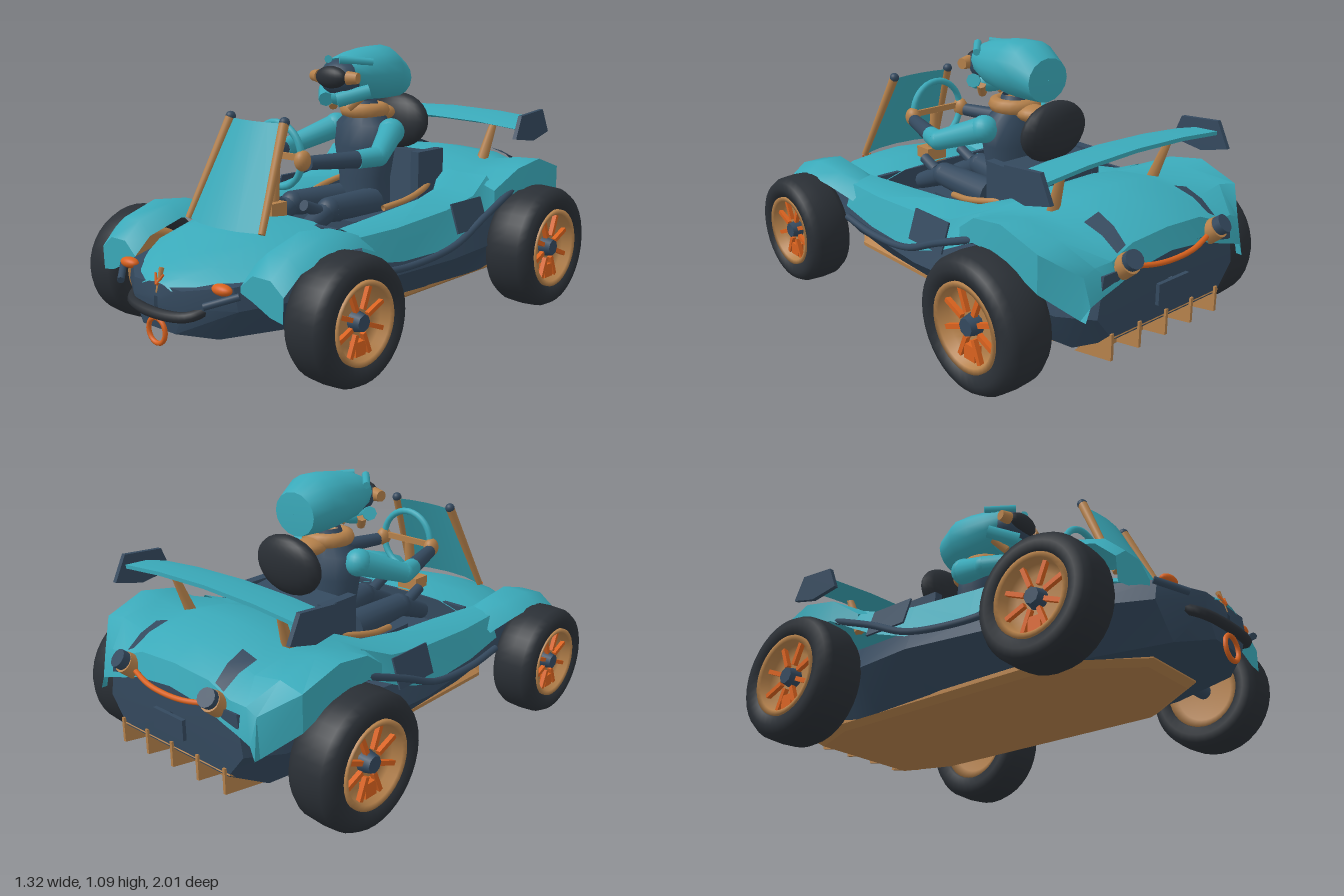
import * as THREE from 'three';
import { toCreasedNormals } from 'three/addons/utils/BufferGeometryUtils.js';

const V = (a) => new THREE.Vector3(...a);

export function createModel() {
  const root = new THREE.Group();
  root.name = 'buggy';
  const mat = (name, color, side = THREE.FrontSide) => {
    const m = new THREE.MeshStandardMaterial({ color, side });
    m.name = name;
    return m;
  };
  const teal = mat('teal', 0x3aa9b9, THREE.DoubleSide);
  const navy = mat('navy', 0x34495e, THREE.DoubleSide);
  const tan = mat('tan', 0xb5814b, THREE.DoubleSide);
  const orange = mat('orange', 0xd9621e);
  const black = mat('black', 0x2a2f35);

  // --- helpers ---
  const add = (name, geo, m, pos = [0, 0, 0], rot = [0, 0, 0], parent = root) => {
    const mesh = new THREE.Mesh(geo, m);
    mesh.name = name;
    mesh.position.set(...pos);
    mesh.rotation.set(...rot);
    parent.add(mesh);
    return mesh;
  };
  const box = (name, size, m, pos, rot, parent) => add(name, new THREE.BoxGeometry(...size), m, pos, rot, parent);
  const ball = (name, size, m, pos, rot) => {
    const mesh = add(name, new THREE.SphereGeometry(1, 20, 14), m, pos, rot);
    mesh.scale.set(...size);
    return mesh;
  };
  const rod = (name, a, b, r1, r2, m, sides = 14) => {
    const d = V(b).sub(V(a));
    const mesh = add(name, new THREE.CylinderGeometry(r2, r1, d.length(), sides), m);
    mesh.position.copy(V(a)).addScaledVector(d, 0.5);
    mesh.quaternion.setFromUnitVectors(new THREE.Vector3(0, 1, 0), d.normalize());
    return mesh;
  };
  const tube = (name, pts, r, m) =>
    add(name, new THREE.TubeGeometry(new THREE.CatmullRomCurve3(pts.map(V)), 24, r, 8), m);
  // Skin through rows of [x, y, z] points
  const loft = (name, rows, m, crease = 0.6) => {
    const n = rows[0].length, idx = [];
    for (let i = 0; i < rows.length - 1; i++)
      for (let j = 0; j < n - 1; j++) {
        const a = i * n + j, b = a + n;
        idx.push(a, b, a + 1, a + 1, b, b + 1);
      }
    const g = new THREE.BufferGeometry();
    g.setAttribute('position', new THREE.Float32BufferAttribute(rows.flat(2), 3));
    g.setIndex(idx);
    return add(name, toCreasedNormals(g, crease), m);
  };
  // Half profile [x, y] at z, mirrored into a whole row
  const whole = (z, half) => [
    ...half.slice().reverse().map(([x, y]) => [-x, y, z]),
    ...half.map(([x, y]) => [x, y, z]),
  ];
  const both = (fn) => [1, -1].forEach((s) => fn(s, s > 0 ? 'left' : 'right'));

  // --- lower tub: z, bottom half width, bottom, waist half width, waist, top ---
  const tub = [
    [0.97, 0.01, 0.24, 0.01, 0.26, 0.28], [0.96, 0.09, 0.16, 0.14, 0.26, 0.32],
    [0.86, 0.2, 0.14, 0.3, 0.26, 0.34], [0.6, 0.28, 0.13, 0.4, 0.27, 0.36],
    [0.3, 0.32, 0.13, 0.44, 0.27, 0.36], [-0.1, 0.34, 0.13, 0.49, 0.28, 0.37],
    [-0.38, 0.35, 0.13, 0.47, 0.28, 0.38], [-0.5, 0.35, 0.13, 0.44, 0.29, 0.4],
    [-0.8, 0.33, 0.15, 0.42, 0.3, 0.44], [-0.94, 0.28, 0.22, 0.36, 0.32, 0.47],
    [-0.945, 0.01, 0.33, 0.01, 0.35, 0.37],
  ];
  loft('lowerTub', tub.map(([z, wb, yb, w, ym, yt]) =>
    whole(z, [[0, yt], [w * 0.93, yt], [w, ym], [wb, yb], [0, yb]])), navy);

  // --- floor pan and diffuser ---
  const pan = new THREE.Shape([[0.13, 0.72], [0.32, 0.45], [0.32, -0.6], [0.24, -0.82], [-0.24, -0.82],
    [-0.32, -0.6], [-0.32, 0.45], [-0.13, 0.72]].map(([x, z]) => new THREE.Vector2(x, z)));
  add('floorPan', new THREE.ExtrudeGeometry(pan, { depth: 0.015, bevelThickness: 0.02, bevelSize: 0.03, bevelSegments: 1 }),
    tan, [0, 0.145, 0], [Math.PI / 2, 0, 0]);
  box('diffuserPlate', [0.58, 0.015, 0.18], tan, [0, 0.19, -0.86], [0.5, 0, 0]);
  const fin = new THREE.Shape([[0.78, 0.12], [0.95, 0.15], [0.95, 0.25], [0.9, 0.24]].map((p) => new THREE.Vector2(...p)));
  for (let i = -2; i <= 2; i++)
    add('diffuserFin', new THREE.ExtrudeGeometry(fin, { depth: 0.012, bevelEnabled: false }), tan, [i * 0.14 + 0.006, 0, 0], [0, Math.PI / 2, 0]);

  // --- hood ---
  loft('hood', [
    whole(0.37, [[0, 0.47], [0.18, 0.465], [0.34, 0.42]]),
    whole(0.5, [[0, 0.485], [0.2, 0.475], [0.35, 0.42]]),
    whole(0.68, [[0, 0.46], [0.2, 0.44], [0.35, 0.37]]),
    whole(0.84, [[0, 0.395], [0.15, 0.38], [0.26, 0.33]]),
    whole(0.92, [[0, 0.36], [0.09, 0.35], [0.17, 0.32]]),
    whole(0.965, [[0, 0.33], [0.04, 0.325], [0.08, 0.31]]),
  ], teal, 1);
  box('dashPanel', [0.62, 0.1, 0.02], navy, [0, 0.41, 0.385]);
  box('dashPod', [0.1, 0.07, 0.08], tan, [0, 0.49, 0.42]);

  // --- rear deck with fenders ---
  loft('rearDeck', [
    whole(-0.38, [[0, 0.56], [0.19, 0.56], [0.28, 0.54], [0.4, 0.54], [0.485, 0.51], [0.49, 0.44]]),
    whole(-0.5, [[0, 0.61], [0.2, 0.6], [0.3, 0.57], [0.42, 0.58], [0.52, 0.59], [0.525, 0.5]]),
    whole(-0.65, [[0, 0.63], [0.2, 0.62], [0.3, 0.59], [0.42, 0.61], [0.53, 0.615], [0.535, 0.5]]),
    whole(-0.82, [[0, 0.6], [0.2, 0.59], [0.3, 0.56], [0.42, 0.58], [0.52, 0.56], [0.52, 0.42]]),
    whole(-0.92, [[0, 0.55], [0.18, 0.54], [0.28, 0.5], [0.36, 0.5], [0.41, 0.48], [0.42, 0.33]]),
    whole(-0.945, [[0, 0.47], [0.18, 0.45], [0.27, 0.42], [0.34, 0.4], [0.4, 0.38], [0.42, 0.33]]),
  ], teal);
  tube('tailStrip', [[-0.21, 0.47, -0.94], [-0.1, 0.455, -0.965], [0, 0.45, -0.97], [0.1, 0.455, -0.965], [0.21, 0.47, -0.94]], 0.01, orange);
  box('tailPlate', [0.16, 0.08, 0.015], navy, [0, 0.33, -0.957]);

  // --- mirrored body parts ---
  // inner, crest, shoulder and lower edge of each side pod
  const pod = [
    [0.4, [0.28, 0.43], [0.34, 0.47], [0.43, 0.45], [0.465, 0.36]],
    [0.2, [0.27, 0.45], [0.33, 0.48], [0.44, 0.45], [0.475, 0.33]],
    [-0.1, [0.27, 0.47], [0.33, 0.505], [0.45, 0.47], [0.495, 0.33]],
    [-0.28, [0.25, 0.5], [0.32, 0.525], [0.45, 0.5], [0.5, 0.39]],
    [-0.42, [0.18, 0.57], [0.28, 0.56], [0.42, 0.56], [0.5, 0.46]],
  ];
  // arch of each front fender: z, y, outer x
  const arch = [[0.84, 0.3, 0.49], [0.84, 0.39, 0.495], [0.77, 0.455, 0.505], [0.62, 0.5, 0.515], [0.47, 0.485, 0.505], [0.35, 0.44, 0.465]];
  both((s, side) => {
    loft(side + 'SidePod', pod.map(([z, ...p]) => p.map(([x, y]) => [s * x, y, z])), teal, 0.8);
    loft(side + 'CockpitWall', pod.map(([z, [x, y]]) => [[s * x, y, z], [s * (x - 0.03), 0.36, z]]), navy);
    loft(side + 'FrontFender', arch.map(([z, y, x], i) => [
      [s * 0.29, y - (i ? 0.05 : -0.02), z], [s * 0.35, y, z],
      [s * (x - 0.06), y - (i ? 0 : 0.035), z], [s * x, y - 0.045, z],
    ]), teal, 0.8);
    box(side + 'NumberPanel', [0.008, 0.12, 0.2], navy, [s * 0.487, 0.44, -0.2], [0, 0, s * 0.32]);
    tube(side + 'SideRail', [[s * 0.475, 0.32, 0.38], [s * 0.49, 0.31, 0.18], [s * 0.505, 0.34, -0.08], [s * 0.51, 0.42, -0.27], [s * 0.505, 0.5, -0.48]], 0.014, navy);
    tube(side + 'CockpitTrim', [[s * 0.21, 0.46, 0.0], [s * 0.235, 0.48, -0.12], [s * 0.23, 0.5, -0.22], [s * 0.2, 0.52, -0.32]], 0.013, tan);
    loft(side + 'TailGroove', [[-0.78, 0.62], [-0.86, 0.595], [-0.925, 0.55]].map(([z, y], i) =>
      [[s * (0.2 + i * 0.01), y - 0.005, z], [s * (0.27 - i * 0.005), y - 0.025, z]]), navy);
    // exhausts
    rod(side + 'Exhaust', [s * 0.23, 0.45, -0.9], [s * 0.235, 0.5, -0.965], 0.045, 0.04, tan);
    rod(side + 'ExhaustTip', [s * 0.235, 0.5, -0.96], [s * 0.24, 0.52, -0.985], 0.035, 0.035, navy);
    // lamps
    ball(side + 'Headlamp', [0.045, 0.02, 0.025], orange, [s * 0.255, 0.335, 0.89]);
    rod(side + 'LampBar', [s * 0.23, 0.285, 0.95], [s * 0.32, 0.32, 0.87], 0.013, 0.013, navy);
    // windshield posts
    rod(side + 'WindshieldPost', [s * 0.2, 0.47, 0.655], [s * 0.145, 0.84, 0.485], 0.013, 0.019, tan);
    ball(side + 'PostCap', [0.02, 0.02, 0.02], navy, [s * 0.145, 0.845, 0.482]);
    // wing end plates and stays
    const plate = new THREE.Shape([[0.6, 0.795], [0.77, 0.81], [0.82, 0.71], [0.7, 0.68], [0.56, 0.7]].map((p) => new THREE.Vector2(...p)));
    add(side + 'WingEndPlate', new THREE.ExtrudeGeometry(plate, { depth: 0.018, bevelEnabled: false }), navy, [s * 0.46 - 0.009, 0, 0], [0, Math.PI / 2, 0]);
    rod(side + 'WingStay', [s * 0.26, 0.58, -0.62], [s * 0.28, 0.75, -0.68], 0.025, 0.015, tan, 6);
  });

  // --- wing blade ---
  const ring = [[-0.58, 0], [-0.67, 0.025], [-0.77, 0.03], [-0.77, 0.015], [-0.67, -0.02], [-0.58, 0]];
  loft('wingBlade', [-0.455, -0.25, 0, 0.25, 0.455].map((x) =>
    ring.map(([z, y]) => [x, 0.765 - x * x * 0.12 + y, z])), teal, 0.5);

  // --- windshield ---
  loft('windshield', [
    [[-0.2, 0.47, 0.65], [-0.1, 0.47, 0.685], [0, 0.47, 0.695], [0.1, 0.47, 0.685], [0.2, 0.47, 0.65]],
    [[-0.14, 0.84, 0.48], [-0.07, 0.84, 0.495], [0, 0.84, 0.5], [0.07, 0.84, 0.495], [0.14, 0.84, 0.48]],
  ], teal, 1);

  // --- nose fittings ---
  tube('frontBumper', [[-0.19, 0.255, 0.9], [-0.16, 0.235, 0.95], [-0.08, 0.225, 0.975], [0.08, 0.225, 0.975], [0.16, 0.235, 0.95], [0.19, 0.255, 0.9]], 0.02, black);
  add('towRing', new THREE.TorusGeometry(0.046, 0.009, 8, 24), orange, [0, 0.155, 0.97]);
  rod('noseBadgeStem', [0, 0.29, 0.965], [0, 0.375, 0.94], 0.005, 0.01, tan, 6);
  both((s) => rod('noseBadgeWing', [0, 0.32, 0.965], [s * 0.022, 0.355, 0.95], 0.006, 0.004, orange, 6));

  // --- wheels ---
  const wheel = (name, r, w, x, z) => {
    const g = new THREE.Group();
    g.name = name;
    const h = w / 2;
    const tyre = [[0.6, -0.6], [0.66, -0.9], [0.8, -1], [0.92, -0.88], [0.985, -0.6], [1, 0], [0.985, 0.6], [0.92, 0.88], [0.8, 1], [0.66, 0.9], [0.6, 0.6], [0.6, -0.6]];
    const lathe = (pts) => new THREE.LatheGeometry(pts.map(([a, b]) => new THREE.Vector2(a * r, b * h)), 36);
    const turn = [0, 0, -Math.PI / 2];
    add('tyre', lathe(tyre), black, [0, 0, 0], turn, g);
    add('rim', lathe([[0.01, 0.35], [0.4, 0.35], [0.53, 0.5], [0.56, 0.88], [0.64, 0.92], [0.64, -0.8], [0.5, -0.6], [0.01, -0.6]]), tan, [0, 0, 0], turn, g);
    for (let i = 0; i < 8; i++) {
      const a = (i * Math.PI) / 4 + 0.39;
      box('spoke', [h * 0.18, r * 0.38, r * 0.07], orange, [h * 0.6, Math.cos(a) * r * 0.38, Math.sin(a) * r * 0.38], [a, 0, 0], g);
    }
    box('caliper', [h * 0.3, r * 0.22, r * 0.22], orange, [h * 0.52, -r * 0.4, 0], [0, 0, 0], g);
    add('hub', new THREE.CylinderGeometry(r * 0.13, r * 0.17, h * 0.45, 8), navy, [h * 0.6, 0, 0], turn, g);
    g.position.set(x, r, z);
    if (x < 0) g.rotation.y = Math.PI;
    root.add(g);
  };
  both((s, side) => {
    wheel(side + 'FrontWheel', 0.23, 0.19, s * 0.55, 0.6);
    wheel(side + 'RearWheel', 0.255, 0.21, s * 0.555, -0.6);
  });
  rod('frontAxle', [-0.5, 0.23, 0.6], [0.5, 0.23, 0.6], 0.03, 0.03, navy);
  rod('rearAxle', [-0.5, 0.255, -0.6], [0.5, 0.255, -0.6], 0.03, 0.03, navy);

  // --- seat and headrest ---
  box('seatBack', [0.36, 0.3, 0.13], navy, [0, 0.5, -0.31], [-0.12, 0, 0]);
  box('seatBase', [0.38, 0.07, 0.4], navy, [0, 0.39, -0.05]);
  both((s) => box('seatBolster', [0.04, 0.28, 0.17], navy, [s * 0.2, 0.52, -0.3]));
  ball('headrest', [0.16, 0.12, 0.06], black, [0, 0.765, -0.35], [-0.1, 0, 0]);

  // --- steering ---
  add('steeringWheel', new THREE.TorusGeometry(0.125, 0.014, 8, 32), teal, [0, 0.7, 0.375], [0.05, 0, 0]);
  rod('steeringColumn', [0, 0.48, 0.41], [0, 0.69, 0.39], 0.025, 0.02, tan);
  box('steeringSpoke', [0.23, 0.025, 0.012], tan, [0, 0.7, 0.378]);

  // --- driver ---
  loft('driverTorso', [[0.42, 0.12, 0.09], [0.55, 0.12, 0.09], [0.68, 0.145, 0.1], [0.77, 0.14, 0.09], [0.83, 0.07, 0.06], [0.87, 0.05, 0.05]].map(([y, rx, rz]) =>
    Array.from({ length: 17 }, (_, i) => [Math.cos(i * Math.PI / 8) * rx, y, -0.13 + Math.sin(i * Math.PI / 8) * rz])), navy, 1.2);
  add('scarf', new THREE.TorusGeometry(0.075, 0.03, 8, 20), tan, [0, 0.83, -0.13], [Math.PI / 2, 0, 0]);
  ball('scarfTail', [0.06, 0.035, 0.07], tan, [0, 0.81, -0.23]);
  both((s, side) => {
    ball(side + 'Shoulder', [0.055, 0.055, 0.055], teal, [s * 0.15, 0.75, -0.12]);
    rod(side + 'UpperArm', [s * 0.15, 0.75, -0.12], [s * 0.235, 0.68, 0.06], 0.052, 0.04, teal);
    ball(side + 'Elbow', [0.04, 0.04, 0.04], teal, [s * 0.235, 0.68, 0.06]);
    rod(side + 'Cuff', [s * 0.235, 0.68, 0.06], [s * 0.205, 0.675, 0.15], 0.04, 0.036, teal);
    rod(side + 'Forearm', [s * 0.205, 0.675, 0.15], [s * 0.14, 0.68, 0.35], 0.034, 0.027, navy);
    ball(side + 'Glove', [0.03, 0.04, 0.035], tan, [s * 0.13, 0.69, 0.375]);
    rod(side + 'Thigh', [s * 0.08, 0.45, -0.08], [s * 0.1, 0.47, 0.2], 0.065, 0.05, navy);
    rod(side + 'Shin', [s * 0.1, 0.47, 0.2], [s * 0.1, 0.4, 0.36], 0.045, 0.035, navy);
    ball(side + 'Knee', [0.05, 0.05, 0.05], navy, [s * 0.1, 0.47, 0.2]);
    rod(side + 'KneePad', [s * 0.1, 0.51, 0.34], [s * 0.1, 0.475, 0.26], 0.022, 0.025, navy);
    // helmet fittings
    rod(side + 'HelmetPivot', [s * 0.075, 0.975, 0.06], [s * 0.12, 0.975, 0.05], 0.028, 0.022, tan);
    rod(side + 'ChinGuard', [s * 0.12, 0.92, -0.02], [s * 0.03, 0.885, 0.075], 0.028, 0.03, teal, 8);
    rod(side + 'BrowBar', [s * 0.12, 1.035, -0.04], [s * 0.03, 1.045, 0.06], 0.014, 0.016, teal, 8);
    rod(side + 'ChinStrap', [s * 0.08, 0.9, -0.02], [s * 0.04, 0.85, 0.02], 0.02, 0.018, tan, 8);
  });
  // helmet: z, half width, half height, centre height
  loft('helmetShell', [[0.03, 0.09, 0.06, 0.99], [0.01, 0.1, 0.075, 0.985], [-0.05, 0.118, 0.095, 0.98], [-0.14, 0.128, 0.11, 0.98], [-0.23, 0.128, 0.113, 0.98], [-0.315, 0.1, 0.085, 0.955], [-0.32, 0.002, 0.002, 0.955]].map(([z, rx, ry, cy]) =>
    Array.from({ length: 17 }, (_, i) => [Math.cos(i * Math.PI / 8) * rx, cy + Math.sin(i * Math.PI / 8) * ry, z])), teal, 0.9);
  ball('face', [0.095, 0.075, 0.08], navy, [0, 0.97, 0.015]);
  ball('visor', [0.078, 0.045, 0.035], black, [0, 0.975, 0.075]);
  ball('chin', [0.085, 0.045, 0.06], teal, [0, 0.9, 0.005]);

  return root;
}
